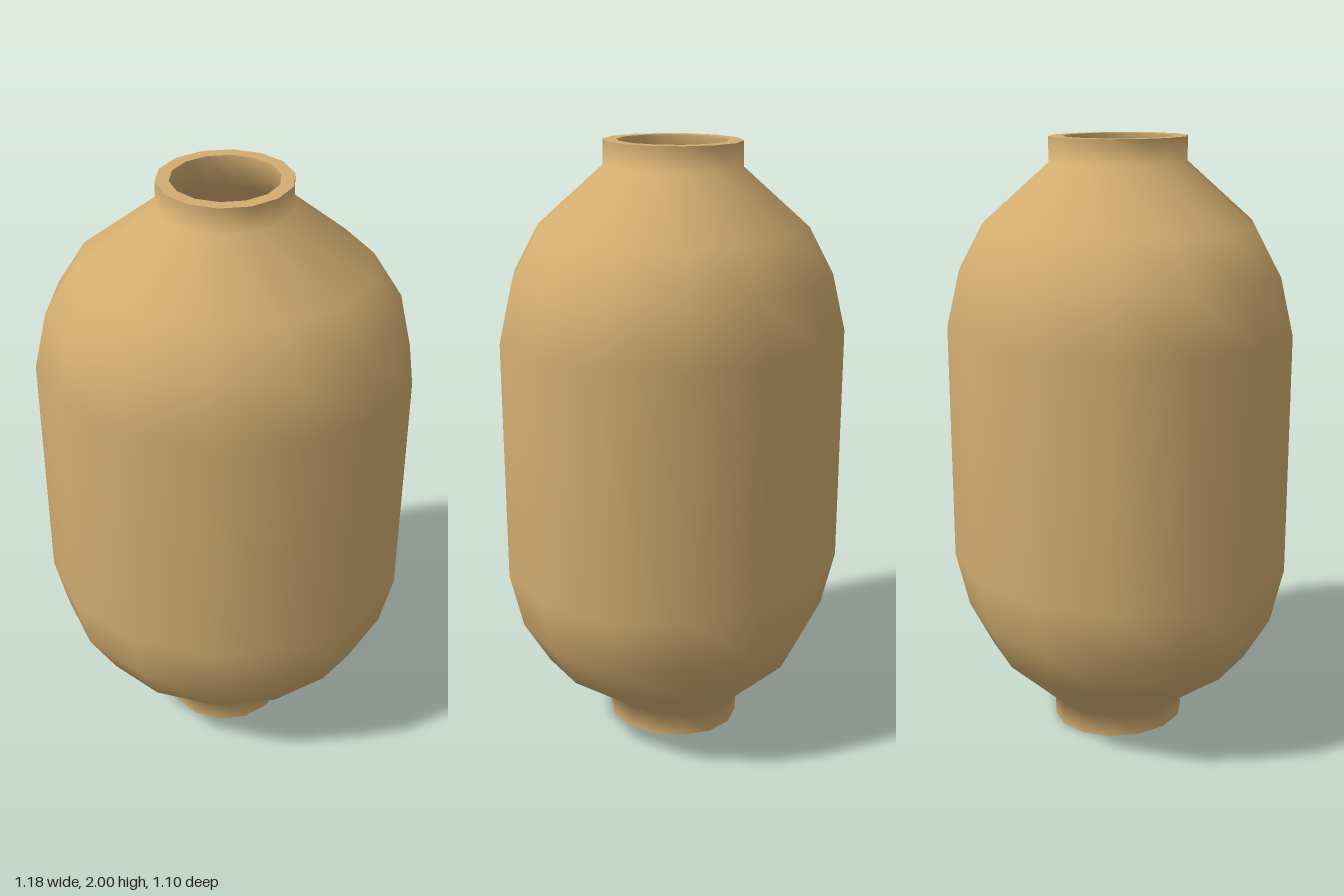
import * as THREE from 'three';
import { mergeVertices } from 'three/addons/utils/BufferGeometryUtils.js';

const SIDES = 14;

// Smooth loft through oval rings given as [y, radiusX, radiusZ].
function ovalLathe(rings) {
  const geo = new THREE.LatheGeometry(rings.map(([y, rx]) => new THREE.Vector2(rx, y)), SIDES);
  const pos = geo.attributes.position;
  for (let i = 0; i < pos.count; i++) {
    const [, rx, rz] = rings[i % rings.length];
    pos.setZ(i, pos.getZ(i) * rz / rx);
  }
  geo.deleteAttribute('normal');
  geo.deleteAttribute('uv');
  const welded = mergeVertices(geo, 1e-4);
  welded.computeVertexNormals();
  return welded;
}

export function createModel() {
  const group = new THREE.Group();
  group.name = 'paperLantern';
  const material = new THREE.MeshStandardMaterial({ color: 0xd2ad70 });

  const add = (name, rings) => {
    const mesh = new THREE.Mesh(ovalLathe(rings), material);
    mesh.name = name;
    group.add(mesh);
  };
  const mirrorUp = (half) => [...half, ...half.map(([y, rx, rz]) => [2 - y, rx, rz]).reverse()];

  // Lower half of the outer and inner walls, mirrored to the top
  const outer = mirrorUp([
    [0, 0.21, 0.228],
    [0.08, 0.21, 0.228],
    [0.27, 0.467, 0.43],
    [0.42, 0.564, 0.505],
    [0.605, 0.607, 0.549],
  ]);
  const inner = mirrorUp([
    [0, 0.168, 0.182],
    [0.1, 0.168, 0.182],
    [0.3, 0.433, 0.395],
    [0.44, 0.525, 0.467],
    [0.61, 0.566, 0.509],
  ]);
  const last = outer.length - 1;

  add('body', outer);
  add('innerWall', [...inner].reverse());
  // Flat rims around both openings
  add('topRim', [outer[last], inner[last]]);
  add('bottomRim', [inner[0], outer[0]]);
  return group;
}
